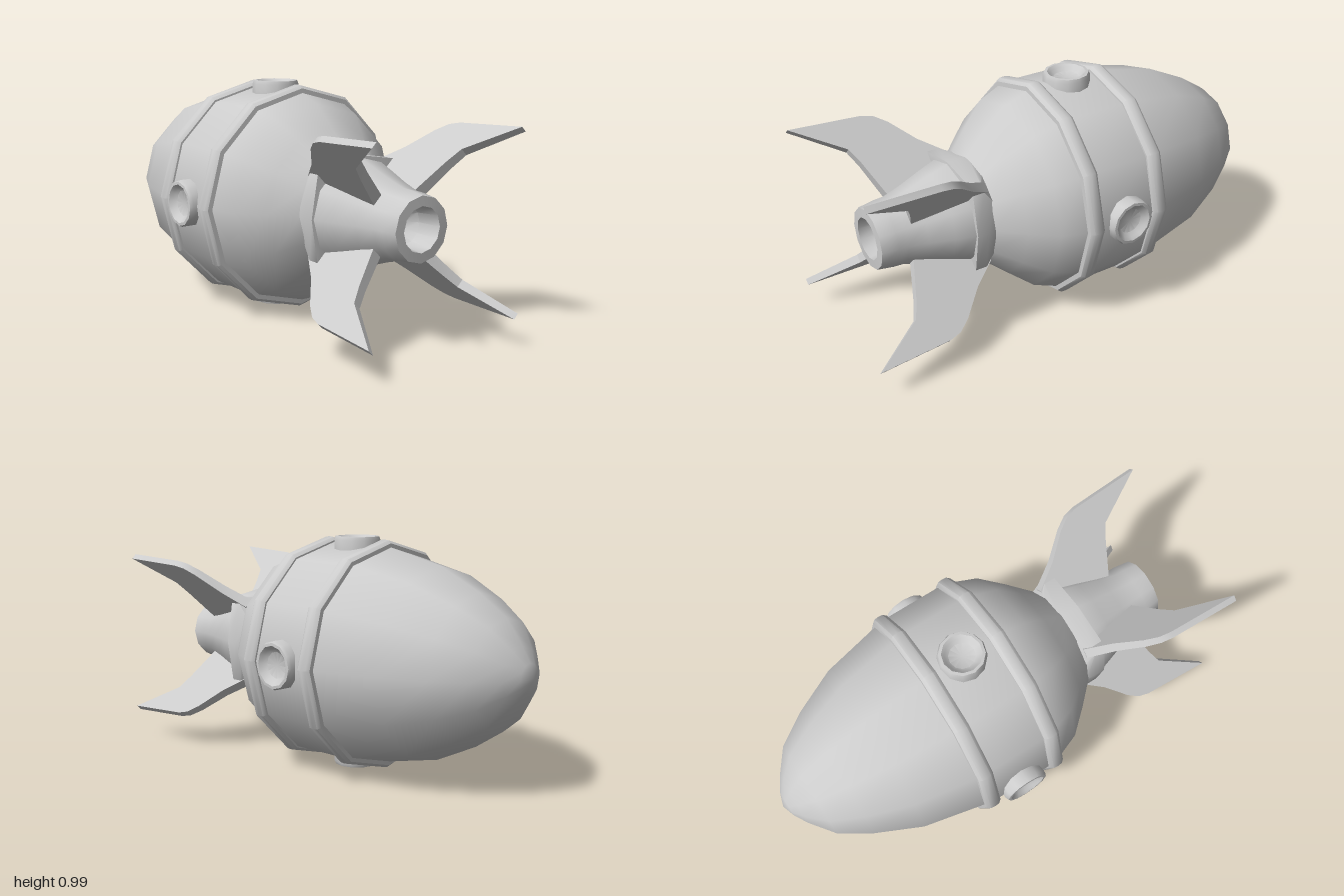
import * as THREE from 'three';
import { toCreasedNormals } from 'three/addons/utils/BufferGeometryUtils.js';

const CREASE = 0.7;
const SIDES = 12;

export function createModel() {
  const group = new THREE.Group();
  const material = new THREE.MeshStandardMaterial({ color: 0xcccccc, side: THREE.DoubleSide });
  const rocket = new THREE.Group();
  rocket.name = 'rocket';
  rocket.position.y = 0.495;
  group.add(rocket);

  const add = (name, geometry) => {
    const mesh = new THREE.Mesh(geometry, material);
    mesh.name = name;
    rocket.add(mesh);
    return mesh;
  };

  // Turned shape along z from [radius, z] pairs, ordered nose to tail
  const turn = (profile, sides = SIDES) =>
    new THREE.LatheGeometry(profile.map(([r, z]) => new THREE.Vector2(r, z)), sides).rotateX(Math.PI / 2);

  // Hull, nose at -z
  add('hull', toCreasedNormals(turn([
    [0, -1], [0.06, -0.98], [0.12, -0.945], [0.22, -0.87], [0.305, -0.74], [0.395, -0.55],
    [0.453, -0.29], [0.462, -0.22], [0.463, 0.03], [0.45, 0.1], [0.412, 0.2], [0.325, 0.3], [0.23, 0.4],
  ]), CREASE));

  // Skirt: its rear rings are drawn out towards the four fin roots
  const skirt = turn([[0.232, 0.385], [0.234, 0.43], [0.234, 0.48], [0.222, 0.482]]);
  const p = skirt.attributes.position;
  for (let i = 0; i < p.count; i++) {
    const x = p.getX(i), y = p.getY(i), z = p.getZ(i);
    if (z > 0.4 && z < 0.481 && Math.min(Math.abs(x), Math.abs(y)) > 0.05) {
      const steep = Math.abs(y) > Math.abs(x);
      p.setXY(i, Math.sign(x) * (steep ? 0.178 : 0.205), Math.sign(y) * (steep ? 0.205 : 0.178));
    }
  }
  add('skirt', toCreasedNormals(skirt, CREASE));

  // Tail cone with a hollow nozzle
  add('tailNozzle', toCreasedNormals(turn([
    [0.228, 0.39], [0.226, 0.48], [0.2, 0.56], [0.165, 0.66], [0.142, 0.74], [0.14, 0.78],
    [0.13, 0.85], [0.09, 0.852], [0.08, 0.75], [0.05, 0.71], [0, 0.7],
  ]), CREASE));

  // Raised bands around the hull
  for (const z of [-0.255, 0.063]) {
    add('hullBand', toCreasedNormals(turn([
      [0.44, z - 0.036], [0.47, z - 0.034], [0.482, z - 0.02], [0.484, z],
      [0.482, z + 0.02], [0.47, z + 0.034], [0.44, z + 0.036],
    ]), CREASE));
  }

  // Four portholes with dished faces
  const porthole = toCreasedNormals(turn([
    [0.1, 0.42], [0.1, 0.478], [0.094, 0.492], [0.082, 0.493], [0.07, 0.482], [0.055, 0.468], [0, 0.464],
  ]), CREASE).rotateY(Math.PI / 2);

  // Swept fin: x is radial, y runs to the tail; it thins towards the tip
  const outline = [
    [0.12, 0.42], [0.25, 0.4], [0.335, 0.5], [0.44, 0.59], [0.48, 0.64], [0.495, 0.69],
    [0.515, 1], [0.37, 0.795], [0.3, 0.765], [0.16, 0.72], [0.1, 0.7],
  ];
  const fin = new THREE.ExtrudeGeometry(
    new THREE.Shape(outline.map(([x, y]) => new THREE.Vector2(x, y))),
    { depth: 1, bevelEnabled: false });
  const f = fin.attributes.position;
  for (let i = 0; i < f.count; i++) {
    f.setZ(i, (f.getZ(i) - 0.5) * THREE.MathUtils.mapLinear(f.getX(i), 0.15, 0.51, 0.05, 0.028));
  }
  fin.rotateX(Math.PI / 2);
  const finGeometry = toCreasedNormals(fin, 0.5);

  for (let i = 0; i < 4; i++) {
    const window = add('porthole', porthole);
    window.position.z = -0.1;
    window.rotation.z = i * Math.PI / 2;
    add('fin', finGeometry).rotation.z = Math.PI / 4 + i * Math.PI / 2;
  }

  return group;
}
